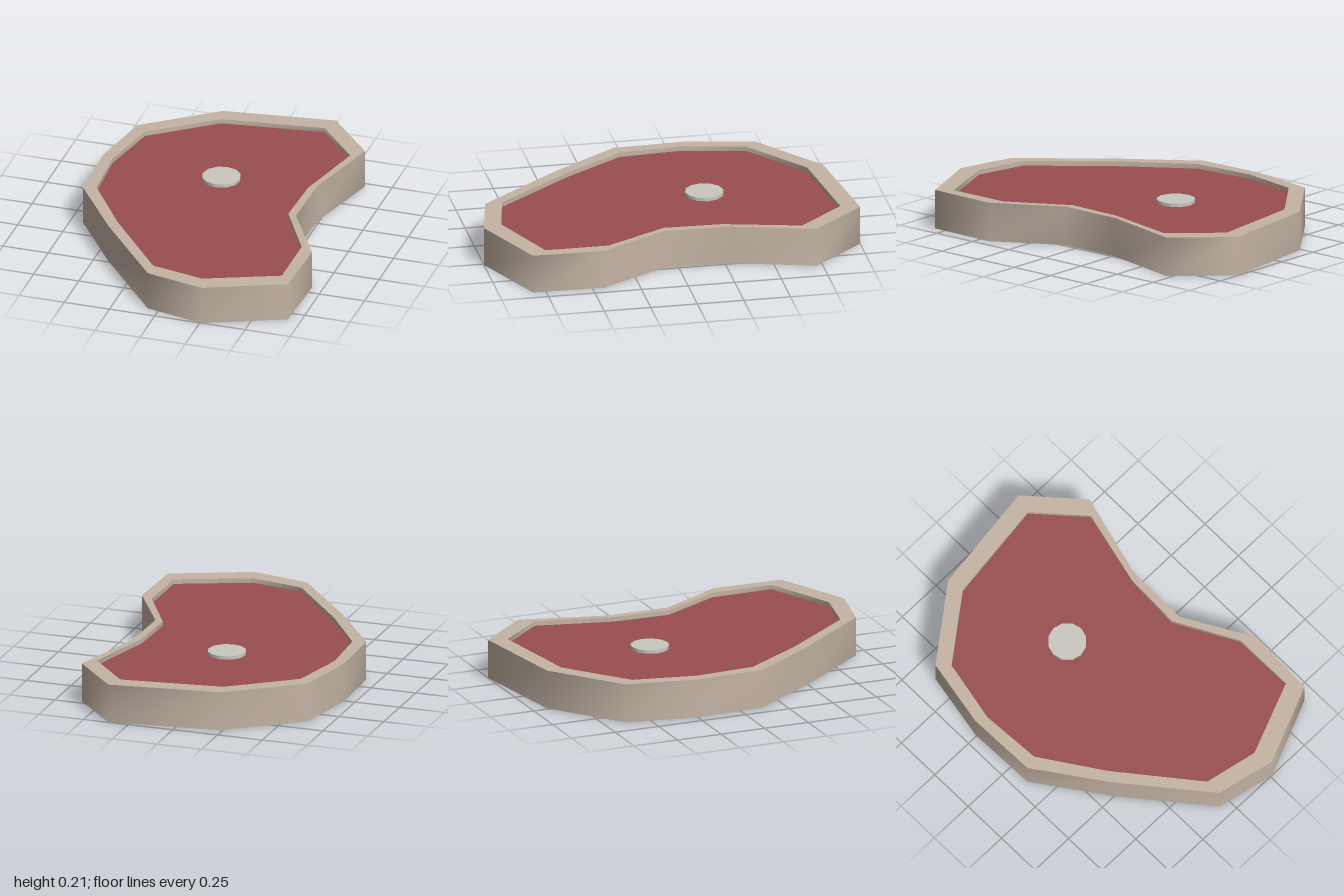
import * as THREE from 'three';

const HEIGHT = 0.21, RECESS = 0.025, BONE_INSET = 0.007;

// Outlines as [x, z], running clockwise seen from above
const OUTER = [
  [0.36, -1], [0.61, -0.72], [0.49, -0.27], [0.485, 0.08], [0.69, 0.44], [0.68, 0.82], [0.26, 1],
  [-0.06, 0.93], [-0.42, 0.49], [-0.68, 0.12], [-0.69, -0.26], [-0.62, -0.63], [-0.24, -0.92],
];
const INNER = [
  [0.33, -0.9], [0.55, -0.65], [0.45, -0.24], [0.44, 0.07], [0.62, 0.4], [0.62, 0.74], [0.23, 0.9],
  [-0.06, 0.84], [-0.39, 0.43], [-0.61, 0.1], [-0.63, -0.23], [-0.56, -0.57], [-0.22, -0.83],
];

const paint = (color) => new THREE.MeshStandardMaterial({ color, roughness: 0.9 });

// Flat horizontal face, turned up or down, with an optional hole
function face(points, y, up, hole) {
  const s = up ? -1 : 1;
  const to2D = (list) => list.map(([x, z]) => new THREE.Vector2(x, s * z));
  const shape = new THREE.Shape(to2D(points));
  if (hole) shape.holes.push(new THREE.Path(to2D(hole)));
  return new THREE.ShapeGeometry(shape).rotateX(s * Math.PI / 2).translate(0, y, 0);
}

// Smooth upright band around a closed outline
function wall(points, y0, y1) {
  const positions = [], index = [], n = points.length;
  points.forEach(([x, z], i) => {
    positions.push(x, y0, z, x, y1, z);
    const a = 2 * i, b = 2 * ((i + 1) % n);
    index.push(a, a + 1, b, b, a + 1, b + 1);
  });
  const g = new THREE.BufferGeometry();
  g.setAttribute('position', new THREE.Float32BufferAttribute(positions, 3));
  g.setIndex(index);
  g.computeVertexNormals();
  return g;
}

export function createModel() {
  const group = new THREE.Group();
  const add = (name, geometry, material, parent = group) => {
    const mesh = new THREE.Mesh(geometry, material);
    mesh.name = name;
    parent.add(mesh);
    return mesh;
  };

  // Fat border: outer side, flat rims and the short inner lips
  const fat = new THREE.Group();
  fat.name = 'fatBorder';
  group.add(fat);
  const fatPaint = paint(0xc4b4a5);
  const inward = [...INNER].reverse();
  add('fatSide', wall(OUTER, 0, HEIGHT), fatPaint, fat);
  add('fatRimTop', face(OUTER, HEIGHT, true, INNER), fatPaint, fat);
  add('fatRimBottom', face(OUTER, 0, false, INNER), fatPaint, fat);
  add('fatLipTop', wall(inward, HEIGHT - RECESS, HEIGHT), fatPaint, fat);
  add('fatLipBottom', wall(inward, 0, RECESS), fatPaint, fat);

  // Meat: raw on top, browned underneath
  add('meatTop', face(INNER, HEIGHT - RECESS, true), paint(0x9a4e50));
  add('meatBottom', face(INNER, RECESS, false), paint(0xa88472));

  // Round bone through the meat
  const bone = new THREE.CylinderGeometry(0.103, 0.103, HEIGHT - 2 * BONE_INSET, 12);
  add('bone', bone, paint(0xcac8c0)).position.set(-0.03, HEIGHT / 2, -0.24);

  return group;
}
